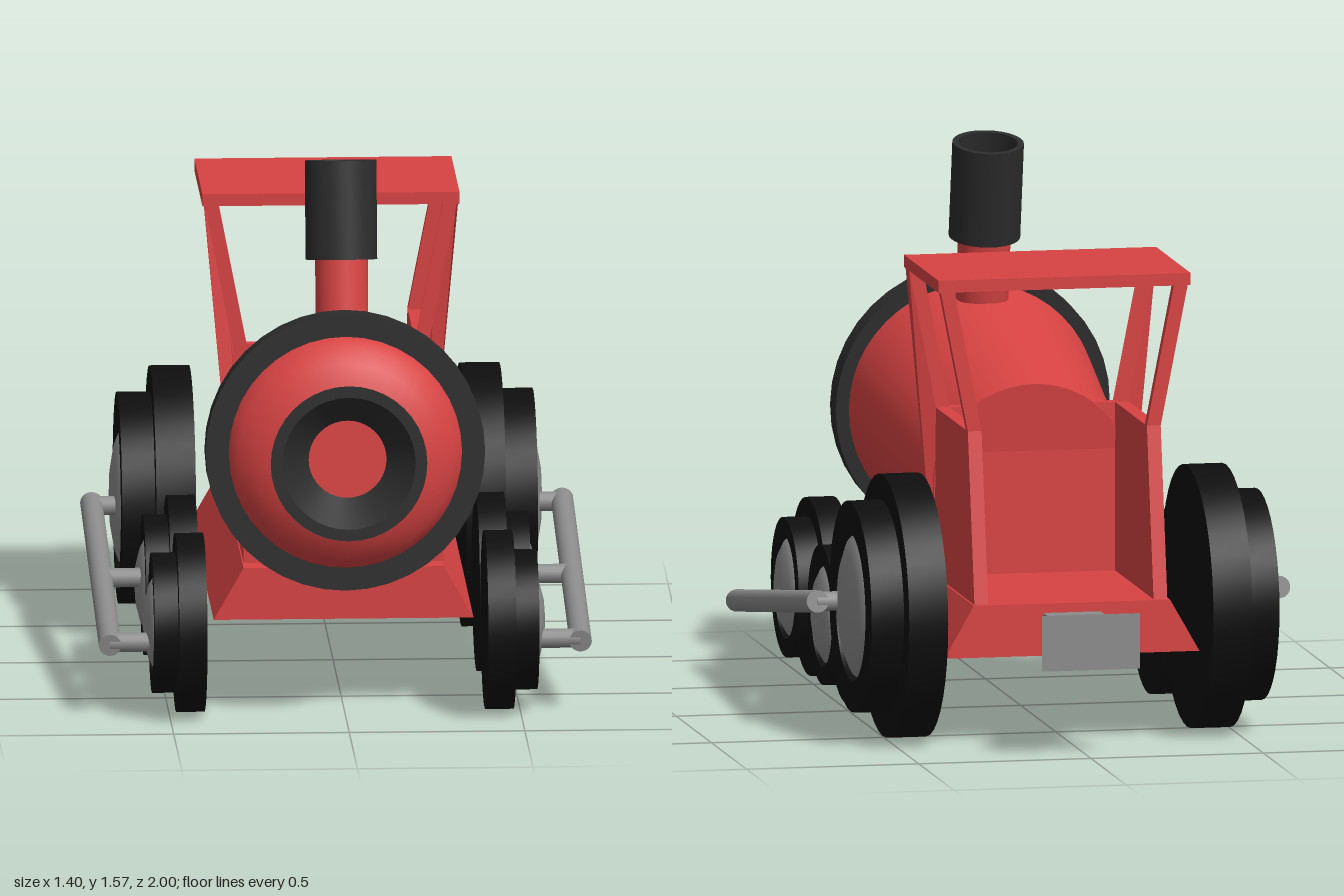
import * as THREE from 'three';
import { toCreasedNormals } from 'three/addons/utils/BufferGeometryUtils.js';

const paint = (color) => new THREE.MeshStandardMaterial({ color, side: THREE.DoubleSide });
const red = paint(0xd84343), black = paint(0x2c2c2c), rubber = paint(0x0e0e0e), grey = paint(0x8c8c8c);

export function createModel() {
  const model = new THREE.Group();

  const add = (name, geometry, material, parent = model) => {
    const mesh = new THREE.Mesh(geometry, material);
    mesh.name = name;
    parent.add(mesh);
    return mesh;
  };
  const lathe = (points, sides = 40) => toCreasedNormals(
    new THREE.LatheGeometry(points.map(([r, h]) => new THREE.Vector2(r, h)), sides), 0.6);
  // Box given by its minimum and maximum corners
  const box = (x0, x1, y0, y1, z0, z1) =>
    new THREE.BoxGeometry(x1 - x0, y1 - y0, z1 - z0).translate((x0 + x1) / 2, (y0 + y1) / 2, (z0 + z1) / 2);
  // Moves every vertex by a rule
  const bend = (geometry, rule) => {
    const p = geometry.attributes.position, v = new THREE.Vector3();
    for (let i = 0; i < p.count; i++) {
      rule(v.fromBufferAttribute(p, i));
      p.setXYZ(i, v.x, v.y, v.z);
    }
    geometry.computeVertexNormals();
    return geometry;
  };

  // Chassis with flared skirt
  const skirt = new THREE.Shape();
  skirt.moveTo(-0.37, 0.265).lineTo(0.37, 0.265).lineTo(0.285, 0.415).lineTo(-0.285, 0.415);
  const skirtGeo = new THREE.ExtrudeGeometry(skirt, { depth: 1.38, bevelEnabled: false });
  add('chassis', skirtGeo.translate(0, 0, -0.73), red);
  add('boilerSaddle', box(-0.285, 0.285, 0.43, 0.495, -0.14, 0.65), red);

  // Tapered boiler, flattened underneath
  const boiler = new THREE.CylinderGeometry(0.36, 0.285, 0.85, 48, 1)
    .rotateX(Math.PI / 2 - 0.105).translate(0, 0.723, 0.265);
  add('boiler', toCreasedNormals(bend(boiler, (v) => { v.y = Math.max(v.y, 0.43); }), 0.6), red);

  // Boiler front: band, dome and flared lamp, tilted slightly upward
  const nose = new THREE.Group();
  nose.name = 'boilerFront';
  nose.position.set(0, 0.77, 0.722);
  nose.rotation.x = Math.PI / 2 - 0.06;
  model.add(nose);
  add('boilerBand', lathe([[0.3, -0.04], [0.398, -0.04], [0.398, 0.04], [0.3, 0.04]]), black, nose);
  add('boilerDome', lathe([[0.335, 0.03], [0.328, 0.055], [0.305, 0.085], [0.265, 0.115], [0.2, 0.148], [0, 0.148]]), red, nose);
  add('lampHousing', lathe([[0.185, 0.14], [0.19, 0.155], [0.223, 0.263], [0.19, 0.263], [0.11, 0.172]]), black, nose);
  add('lampFace', new THREE.CircleGeometry(0.112, 40).rotateX(-Math.PI / 2).translate(0, 0.173, 0), red, nose);

  // Chimney leaning back
  const chimney = new THREE.Group();
  chimney.name = 'chimney';
  chimney.position.set(0, 1.42, 0.489);
  chimney.rotation.x = -0.19;
  model.add(chimney);
  add('chimneyPipe', new THREE.CylinderGeometry(0.075, 0.075, 0.4, 32).translate(0, -0.28, 0), red, chimney);
  add('chimneyCap', lathe([[0.07, -0.141], [0.102, -0.141], [0.102, 0.141], [0.085, 0.141], [0.085, -0.08]], 32), black, chimney);

  // Cab sides: solid below, window frame leaning outward above the waist
  const side = new THREE.Shape();
  side.moveTo(-0.135, 0.41).lineTo(-0.135, 0.9).lineTo(-0.135, 1.335)
    .lineTo(-0.62, 1.335).lineTo(-0.62, 0.9).lineTo(-0.715, 0.41);
  const pane = new THREE.Path();
  pane.moveTo(-0.167, 0.9).lineTo(-0.59, 0.9).lineTo(-0.59, 1.303).lineTo(-0.167, 1.303);
  side.holes.push(pane);
  for (const s of [1, -1]) {
    const wall = new THREE.ExtrudeGeometry(side, { depth: 0.04, bevelEnabled: false });
    bend(wall, (v) => {
      const lean = Math.max(0, v.y - 0.9) * 0.195;
      v.set(s * (0.24 + v.z + lean), v.y, v.x);
    });
    add(s > 0 ? 'cabSideLeft' : 'cabSideRight', toCreasedNormals(wall, 0.05), red);
  }
  add('cabFront', box(-0.275, 0.275, 0.41, 0.9, -0.167, -0.135), red);
  add('cabRoof', box(-0.366, 0.366, 1.302, 1.337, -0.625, -0.133), red);

  // Rear coupler
  add('couplerBar', box(-0.083, 0.083, 0.295, 0.388, -0.92, -0.7), grey);
  const flare = bend(box(-0.083, 0.083, 0.295, 0.388, -1, -0.92), (v) => {
    if (v.z < -0.96) {
      v.x *= 1.72;
      v.y = v.y > 0.34 ? 0.422 : 0.262;
    }
  });
  add('couplerFlare', flare, grey);

  // Stepped wheels with domed hubs: [z, radius, step radius, hub radius, inner x, step x, outer x]
  const wheels = [
    ['frontWheel', 0.67, 0.255, 0.2, 0.148, 0.4, 0.48, 0.548],
    ['middleWheel', 0.148, 0.255, 0.2, 0.148, 0.4, 0.48, 0.548],
    ['rearWheel', -0.48, 0.376, 0.302, 0.213, 0.385, 0.498, 0.592],
  ];
  for (const s of [1, -1]) {
    const tag = s > 0 ? 'Left' : 'Right';
    for (const [name, z, r, r2, hub, x0, x1, x2] of wheels) {
      const wheel = new THREE.Group();
      wheel.name = name + tag;
      wheel.position.set(0, r + 0.008, z);
      wheel.rotation.z = -s * Math.PI / 2;
      model.add(wheel);
      add('tyre', lathe([[0, x0], [r, x0], [r, x1], [r2, x1], [r2, x2], [hub, x2], [hub, x2 - 0.03]]), rubber, wheel);
      const dome = [0, 0.25, 0.5, 0.75, 1].map((t) =>
        [hub * Math.cos(t * Math.PI / 2), x2 - 0.03 + 0.055 * Math.sin(t * Math.PI / 2)]);
      add('hub', lathe(dome), grey, wheel);
    }

    // Coupling rod and its crank pins
    const rodY = (z) => 0.329 - 0.15 * z;
    const rod = new THREE.LineCurve3(
      new THREE.Vector3(s * 0.67, rodY(0.755), 0.755), new THREE.Vector3(s * 0.67, rodY(-0.395), -0.395));
    const length = rod.getLength();
    const rodMesh = add('couplingRod' + tag, new THREE.CylinderGeometry(0.032, 0.032, length, 20), grey);
    rodMesh.position.copy(rod.getPoint(0.5));
    rodMesh.quaternion.setFromUnitVectors(new THREE.Vector3(0, 1, 0), rod.getTangent(0));
    for (const z of [0.73, 0.21, -0.37]) {
      const pin = new THREE.CylinderGeometry(0.028, 0.028, 0.15, 16).rotateZ(Math.PI / 2);
      add('crankPin' + tag, pin.translate(s * 0.595, rodY(z), z), grey);
    }
  }
  return model;
}
